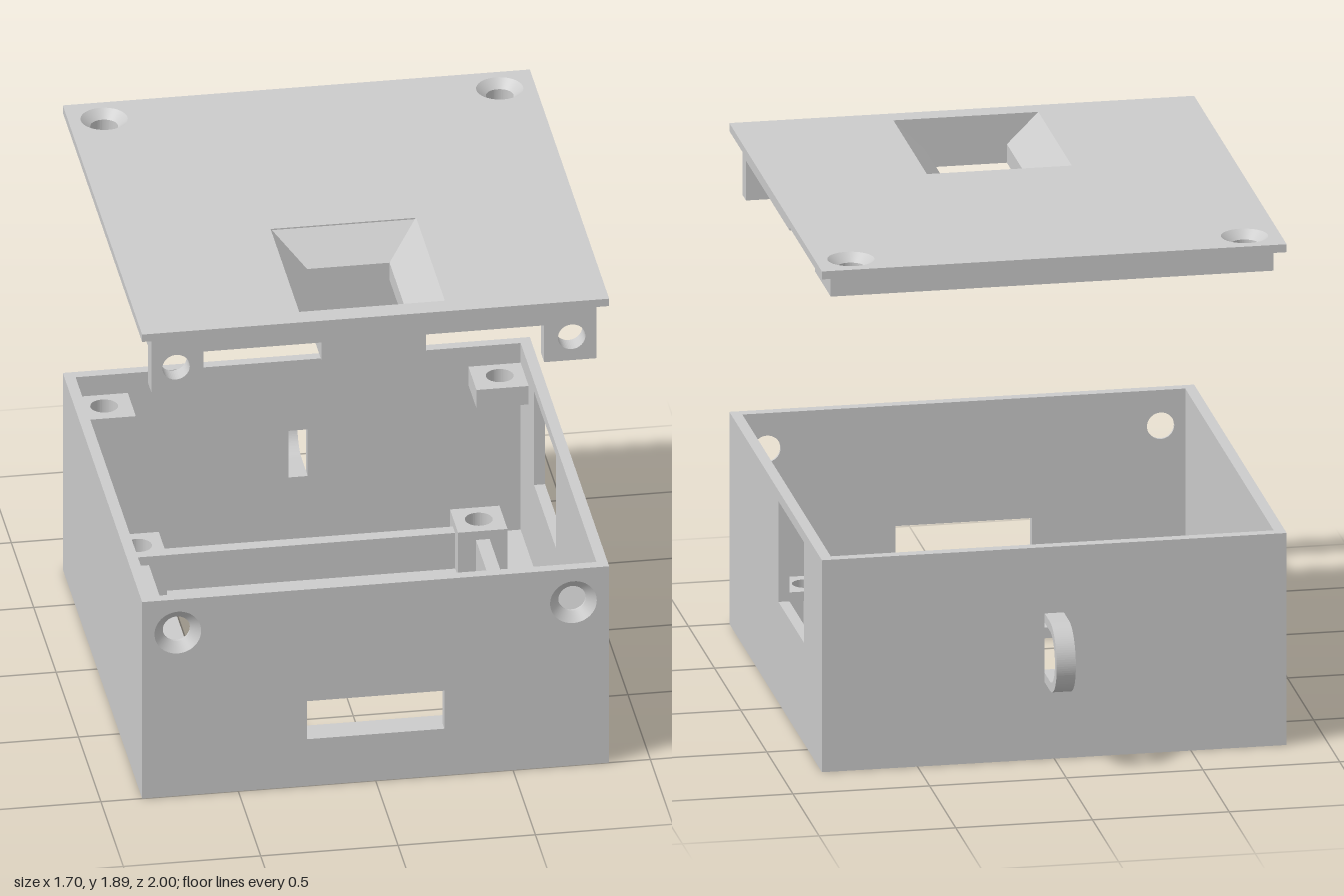
import * as THREE from 'three';

const grey = new THREE.MeshStandardMaterial({ color: 0xcccccc, side: THREE.DoubleSide });

function add(parent, name, geometry, x = 0, y = 0, z = 0) {
  const mesh = new THREE.Mesh(geometry, grey);
  mesh.name = name;
  mesh.position.set(x, y, z);
  parent.add(mesh);
  return mesh;
}

// Box given by its limits on each axis
function block(parent, name, x0, x1, y0, y1, z0, z1) {
  return add(parent, name, new THREE.BoxGeometry(x1 - x0, y1 - y0, z1 - z0),
    (x0 + x1) / 2, (y0 + y1) / 2, (z0 + z1) / 2);
}

function trace(path, a0, a1, b0, b1) {
  path.moveTo(a0, b0);
  path.lineTo(a1, b0);
  path.lineTo(a1, b1);
  path.lineTo(a0, b1);
  path.closePath();
  return path;
}
const rectHole = (...limits) => trace(new THREE.Path(), ...limits);
const roundHole = (a, b, r) => new THREE.Path().absarc(a, b, r, 0, Math.PI * 2, true);

// Rectangular sheet with holes, extruded along +z
function sheet(limits, holes, depth) {
  const shape = trace(new THREE.Shape(), ...limits);
  shape.holes.push(...holes);
  return new THREE.ExtrudeGeometry(shape, { depth, bevelEnabled: false, curveSegments: 24 });
}
// Turned to lie flat: (x, -z) outline, thickness upwards
const flat = (...args) => sheet(...args).rotateX(-Math.PI / 2);
// Turned to stand sideways: (z, y) outline, thickness towards -x
const sideways = (...args) => sheet(...args).rotateY(-Math.PI / 2);

const W = 0.85, T = 0.04, BACK = -0.77, FRONT = 1, H = 0.8;
const IN = W - T, IB = BACK + T, IF = FRONT - T;
const SCREW_X = 0.72, SCREW_Y = 0.665, SCREW_Z = -0.645, R = 0.05, SINK = 0.085;
const SIDES = [-1, 1];

function createCase() {
  const box = new THREE.Group();
  box.name = 'case';

  // Floor with a large window
  add(box, 'floor', flat([-IN, IN, -IF, -IB], [rectHole(-0.515, 0.515, -0.62, 0.43)], T));

  // Front wall in two layers so the screw holes are countersunk
  const slot = () => rectHole(-0.25, 0.25, 0.19, 0.345);
  const screws = r => SIDES.map(s => roundHole(s * SCREW_X, SCREW_Y, r));
  add(box, 'frontWallInner', sheet([-W, W, 0, H], [slot(), ...screws(R)], 0.01), 0, 0, IF);
  add(box, 'frontWallOuter', sheet([-W, W, 0, H], [slot(), ...screws(SINK)], 0.03), 0, 0, IF + 0.01);

  // Remaining walls
  add(box, 'backWall', sheet([-W, W, 0, H], [rectHole(-0.035, 0.035, 0.325, 0.515)], T), 0, 0, BACK);
  add(box, 'rightWall', sideways([IB, IF, 0, H], [], T), -IN);
  add(box, 'leftWall', sideways([IB, IF, 0, H], [rectHole(-0.43, 0.06, 0.38, 0.76)], T), W);

  // Strap loop behind the back wall
  const loop = new THREE.Shape();
  const cz = -0.87, cy = 0.42;
  loop.moveTo(BACK, cy + 0.13);
  loop.lineTo(cz, cy + 0.13);
  loop.absarc(cz, cy, 0.13, Math.PI / 2, Math.PI * 1.5, false);
  loop.lineTo(BACK, cy - 0.13);
  loop.lineTo(BACK, cy - 0.095);
  loop.lineTo(cz, cy - 0.095);
  loop.absarc(cz, cy, 0.095, Math.PI * 1.5, Math.PI / 2, true);
  loop.lineTo(BACK, cy + 0.095);
  loop.closePath();
  add(box, 'strapLoop', new THREE.ExtrudeGeometry(loop,
    { depth: 0.07, bevelEnabled: false, curveSegments: 24 }).rotateY(-Math.PI / 2), 0.035);

  for (const s of SIDES) {
    // Countersink of the front screws
    const cone = new THREE.CylinderGeometry(SINK, R, 0.03, 48, 1, true).rotateX(Math.PI / 2);
    add(box, 'frontCountersink', cone, s * SCREW_X, SCREW_Y, FRONT - 0.015);

    // Screw tabs high in the back corners
    const x0 = s > 0 ? 0.62 : -IN, x1 = s > 0 ? IN : -0.62;
    add(box, 'screwTab', flat([x0, x1, 0.55, -IB], [roundHole(s * SCREW_X, -SCREW_Z, R)], 0.075), 0, 0.645, 0);

    // Standoffs and side rails around the floor window
    for (const z of [-0.5, 0.74]) {
      const post = flat([-0.09, 0.09, -0.09, 0.09], [roundHole(0, 0, R)], 0.18);
      add(box, 'standoff', post, s * 0.62, T, z);
    }
    block(box, 'sideRail', s * 0.62 - 0.025, s * 0.62 + 0.025, T, 0.185, -0.41, 0.65);
  }
  block(box, 'backRail', -0.53, 0.53, T, 0.185, -0.525, -0.475);
  return box;
}

// Sloping three-sided surround: a closed profile swept round a mitred U
function surroundGeometry() {
  const profile = [[0.265, 1.89], [0.15, 1.775], [0.15, 1.705], [0.19, 1.705], [0.19, 1.78], [0.29, 1.86]];
  const stations = [
    (o, y) => [o, y, 0.92],
    (o, y) => [o, y, 0.54 - o],
    (o, y) => [-o, y, 0.54 - o],
    (o, y) => [-o, y, 0.92],
  ];
  const pos = [];
  for (let i = 0; i < 3; i++) {
    profile.forEach((p, j) => {
      const q = profile[(j + 1) % profile.length];
      const a = stations[i](...p), b = stations[i + 1](...p);
      const c = stations[i + 1](...q), d = stations[i](...q);
      pos.push(...a, ...b, ...c, ...a, ...c, ...d);
    });
  }
  // Flip the winding so that the faces point out of the solid
  for (let t = 0; t < pos.length; t += 9) {
    for (let k = 3; k < 6; k++) [pos[t + k], pos[t + k + 3]] = [pos[t + k + 3], pos[t + k]];
  }
  const g = new THREE.BufferGeometry();
  g.setAttribute('position', new THREE.Float32BufferAttribute(pos, 3));
  g.computeVertexNormals();
  return g;
}

function createLid() {
  const lid = new THREE.Group();
  lid.name = 'lid';
  const PLATE = 1.86, RIM = 1.78;

  // Top plate
  const holes = SIDES.map(s => roundHole(s * SCREW_X, -SCREW_Z, SINK));
  holes.push(rectHole(-0.265, 0.265, -0.92, -0.28));
  add(lid, 'plate', flat([-W, W, -FRONT, -BACK], holes, 0.03), 0, PLATE, 0);

  // Rim, cut away above the side window
  block(lid, 'frontRim', -IN, IN, RIM, PLATE, IF - T, IF);
  block(lid, 'backRim', -0.62, 0.62, RIM, PLATE, IB, IB + T);
  block(lid, 'rightRim', -IN, -IN + T, RIM, PLATE, -0.55, IF - T);
  block(lid, 'leftRim', IN - T, IN, RIM, PLATE, 0.06, IF - T);
  block(lid, 'leftRim', IN - T, IN, RIM, PLATE, -0.55, -0.43);
  block(lid, 'leftRimNotch', IN - T, IN, 1.815, PLATE, -0.43, 0.06);

  for (const s of SIDES) {
    const x0 = s > 0 ? 0.62 : -IN, x1 = s > 0 ? IN : -0.62;
    // Countersunk corner pads at the back
    add(lid, 'cornerPad', flat([x0, x1, 0.55, -IB], [roundHole(s * SCREW_X, -SCREW_Z, R)], PLATE - RIM), 0, RIM, 0);
    add(lid, 'lidCountersink', new THREE.CylinderGeometry(SINK, R, 0.03, 48, 1, true), s * SCREW_X, PLATE + 0.015, SCREW_Z);
    // Hanging screw tabs at the front
    add(lid, 'frontTab', sheet([x0, x1, 1.63, PLATE], [roundHole(s * SCREW_X, SCREW_Y + 1.06, R)], 0.07), 0, 0, 0.89);
  }

  // Recess in the plate with its sleeve and long back flap
  add(lid, 'recessSurround', surroundGeometry());
  block(lid, 'sleeveFront', -0.19, 0.19, 1.705, RIM, IF - T, IF);
  block(lid, 'sleeveFlap', -0.19, 0.19, 1.555, 1.705, 0.36, 0.39);
  return lid;
}

export function createModel() {
  const model = new THREE.Group();
  model.name = 'enclosure';
  model.add(createCase(), createLid());
  return model;
}
